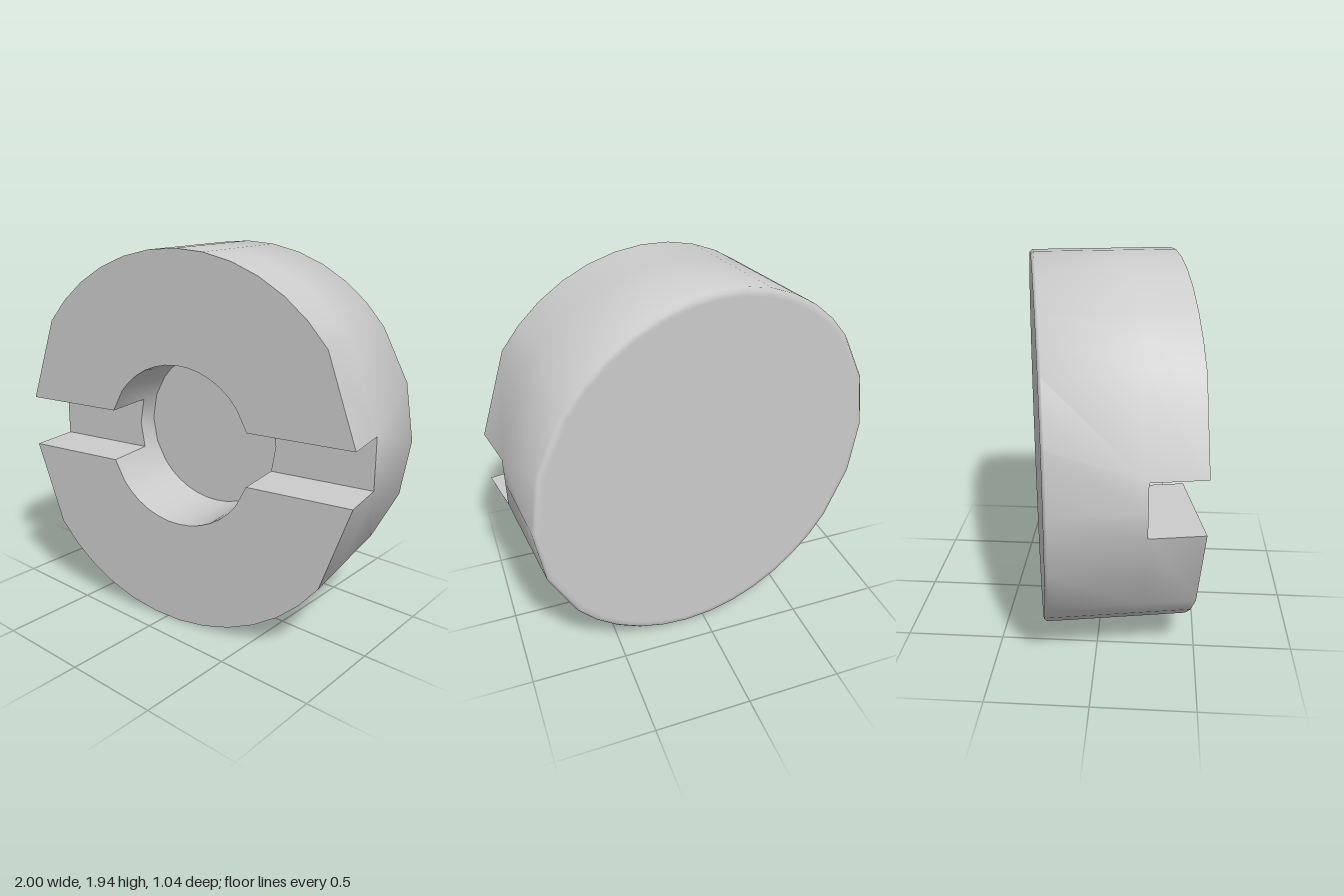
import * as THREE from 'three';
import { toCreasedNormals } from 'three/addons/utils/BufferGeometryUtils.js';

const R = 0.97, HOLE = 0.415;            // disc and pocket radius
const FRONT = 0.361, BACK = -0.361;      // disc faces
const SLOT = 0.096, POCKET = -0.025;     // floor levels of slot and pocket
const HALF = 0.135;                      // half height of the slot

// Ring angles: coarse beside the slot, 9 degree steps elsewhere
const quarter = [0, 18, 36, 45, 54, 63, 72, 81];
const angles = [
  ...quarter, 90, ...quarter.slice(1).reverse().map((a) => 180 - a),
  ...quarter.map((a) => 180 + a), 270, ...quarter.slice(1).reverse().map((a) => 360 - a),
];
const N = angles.length;
const besideSlot = (a) => a % 180 === 18 || a % 180 === 162;
const inSlot = (i) => angles[i] % 180 === 0 || angles[(i + 1) % N] % 180 === 0;

// Ring of points; with slotX, the points beside the slot lie on its edges
function ring(r, z, slotX, midX) {
  return angles.map((a) => {
    const t = THREE.MathUtils.degToRad(a);
    const c = Math.cos(t), s = Math.sin(t);
    if (slotX && besideSlot(a)) return [Math.sign(c) * slotX, Math.sign(s) * HALF, z];
    if (slotX && a % 180 === 0) return [Math.sign(c) * midX, 0, z];
    return [r * c, r * s, z];
  });
}

function discGeometry() {
  const pos = [];
  const quad = (a, b, c, d) => pos.push(...a, ...b, ...c, ...a, ...c, ...d);
  const strip = (A, B, keep = () => true) => {
    for (let i = 0; i < N; i++) {
      const j = (i + 1) % N;
      if (keep(i)) quad(A[i], A[j], B[j], B[i]);
    }
  };
  const outer = (z) => ring(R, z, 0.935, 0.935);
  const inner = (z) => ring(HOLE, z, Math.sqrt(HOLE * HOLE - HALF * HALF), HOLE);
  const outLow = outer(SLOT), outHigh = outer(FRONT);
  const inLow = inner(SLOT), inHigh = inner(FRONT);

  // Back face, softened rim and lower side
  const chain = [ring(0, BACK), ring(0.93, BACK), ring(0.957, BACK), ring(R, BACK + 0.014), outLow];
  for (let k = 0; k < chain.length - 1; k++) strip(chain[k], chain[k + 1]);

  // Two raised halves: side, front face, upper pocket wall
  const raised = (i) => !inSlot(i);
  strip(outLow, outHigh, raised);
  strip(outHigh, inHigh, raised);
  strip(inHigh, inLow, raised);

  // Slot floor and slot walls
  strip(outLow, inLow, inSlot);
  for (let i = 0; i < N; i++) {
    if (!besideSlot(angles[i])) continue;
    const w = [outLow[i], outHigh[i], inHigh[i], inLow[i]];
    if (w[0][0] * w[0][1] < 0) w.reverse();
    quad(...w);
  }

  // Lower pocket wall and pocket floor
  const foot = inner(POCKET);
  strip(inLow, foot);
  strip(foot, ring(0, POCKET));

  // Drop the zero-area triangles at the two centres
  const clean = [];
  for (let i = 0; i < pos.length; i += 9) {
    const [a, b, c] = [0, 3, 6].map((k) => new THREE.Vector3().fromArray(pos, i + k));
    if (b.sub(a).cross(c.sub(a)).length() > 1e-9) clean.push(...pos.slice(i, i + 9));
  }
  const g = new THREE.BufferGeometry();
  g.setAttribute('position', new THREE.Float32BufferAttribute(clean, 3));
  return toCreasedNormals(g, 0.9);
}

export function createModel() {
  const group = new THREE.Group();
  const disc = new THREE.Mesh(discGeometry(), new THREE.MeshStandardMaterial({ color: 0xcccccc }));
  disc.name = 'slottedDisc';
  // The disc stands on its rim, turned slightly to its left
  disc.rotation.y = THREE.MathUtils.degToRad(10);
  disc.position.set(0.017, R, -0.003);
  group.add(disc);
  return group;
}
